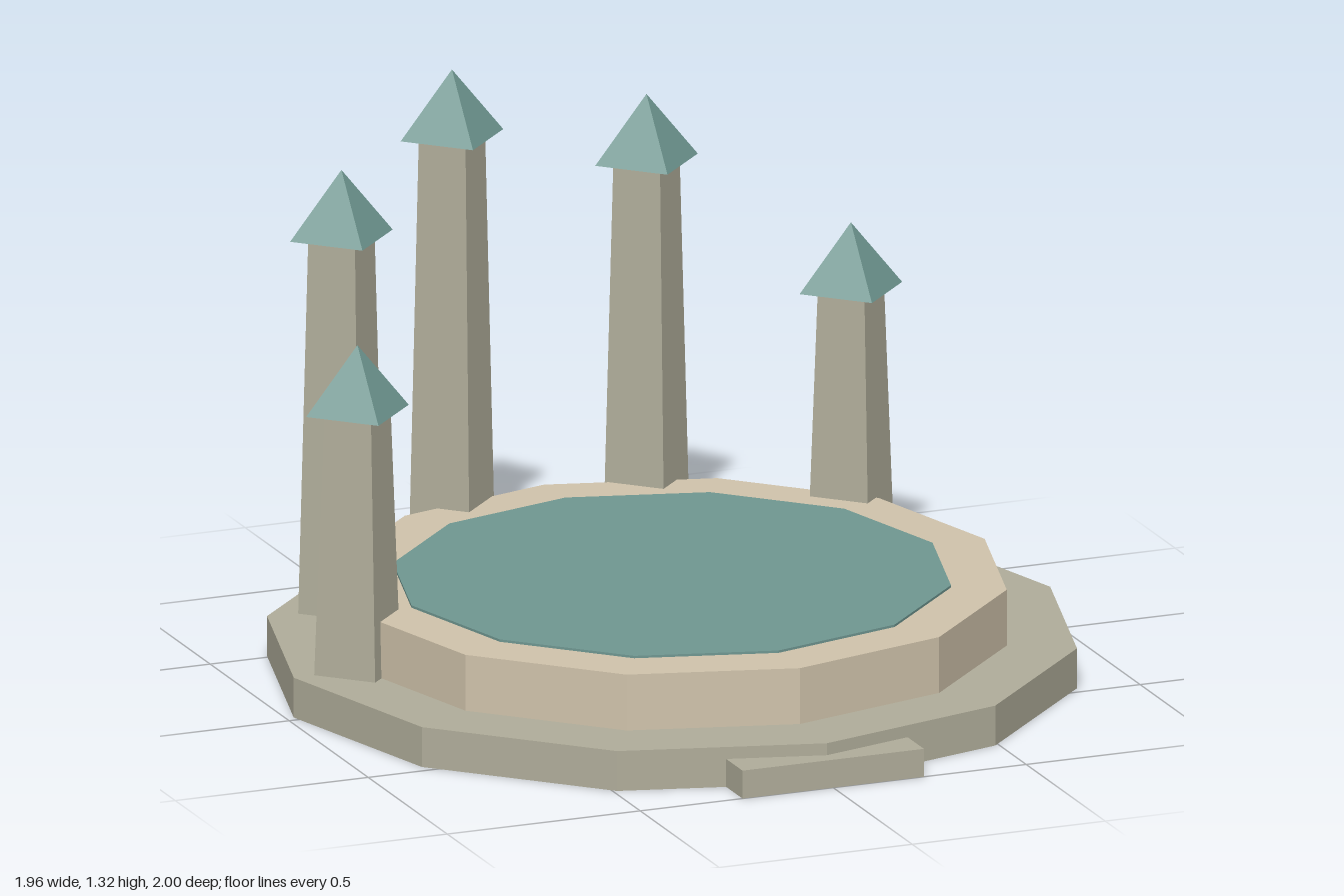
import * as THREE from 'three';

const material = (color) => new THREE.MeshStandardMaterial({ color, flatShading: true });

export function createModel() {
  const group = new THREE.Group();
  const stone = material(0xb0ad9a);
  const sand = material(0xd0c3ab);
  const teal = material(0x6f9791);
  const centerZ = -0.02;

  const add = (name, geometry, mat, x, y, z, parent = group) => {
    const mesh = new THREE.Mesh(geometry, mat);
    mesh.name = name;
    mesh.position.set(x, y, z);
    parent.add(mesh);
  };

  // Twelve-sided drum standing between two heights
  const drum = (name, radius, y0, y1, mat) =>
    add(name, new THREE.CylinderGeometry(radius, radius, y1 - y0, 12), mat, 0, (y0 + y1) / 2, centerZ);

  drum('base', 0.98, 0, 0.1, stone);
  drum('basin', 0.81, 0.1, 0.24, sand);
  drum('water', 0.675, 0.225, 0.246, teal);

  // Low entrance step at the front
  add('step', new THREE.BoxGeometry(0.47, 0.07, 0.16), stone, 0, 0.035, 0.92);

  // Tapered square towers around the back: x, z, eaves height
  const towers = [
    [-0.815, -0.02, 0.75],
    [-0.66, -0.5, 1.035],
    [-0.252, -0.797, 1.155],
    [0.252, -0.797, 1.035],
    [0.66, -0.5, 0.75],
  ];
  for (const [x, z, eaves] of towers) {
    const tower = new THREE.Group();
    tower.name = 'tower';
    tower.position.set(x, 0, z);
    group.add(tower);
    const height = eaves - 0.1;
    add('towerShaft', new THREE.CylinderGeometry(0.086, 0.112, height, 4), stone, 0, 0.1 + height / 2, 0, tower);
    add('towerRoof', new THREE.ConeGeometry(0.133, 0.165, 4), teal, 0, eaves + 0.0825, 0, tower);
  }

  return group;
}
